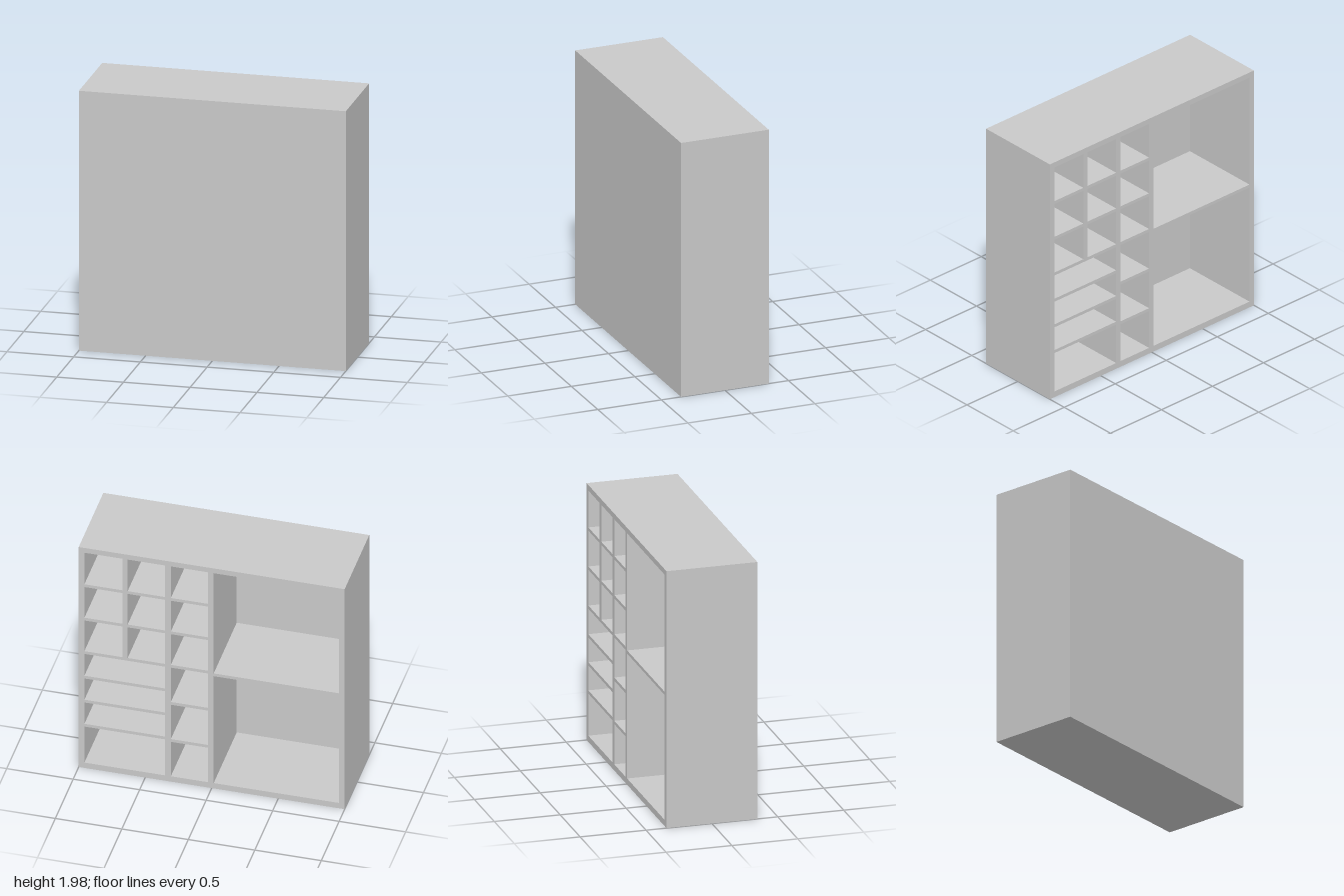
import * as THREE from 'three';

export function createModel() {
  const group = new THREE.Group();
  const grey = new THREE.MeshStandardMaterial({ color: 0xc8c8c8 });
  grey.name = 'light grey';

  const H = 1.98, D = 0.345, T = 0.043; // height, half depth, panel thickness
  const inner = 0.3; // inside face of the closed panel
  const S = 0.025; // shelf thickness

  // Box given by its limits on each axis
  function panel(name, x0, x1, y0, y1, z0 = -D, z1 = inner) {
    const mesh = new THREE.Mesh(new THREE.BoxGeometry(x1 - x0, y1 - y0, z1 - z0), grey);
    mesh.position.set((x0 + x1) / 2, (y0 + y1) / 2, (z0 + z1) / 2);
    mesh.name = name;
    group.add(mesh);
  }

  // Outer case, open towards -z
  panel('frontPanel', -1, 1, 0, H, inner, D);
  panel('leftSide', 1 - T, 1, 0, H);
  panel('rightSide', -1, -1 + T, 0, H);
  panel('bottomPanel', -1 + T, 1 - T, 0, 0.048);
  panel('topPanel', -1 + T, 1 - T, H - T, H);

  // Full-height dividers
  panel('outerDivider', 0.307, 0.35, 0.048, H - T);
  panel('middleDivider', -0.015, 0.028, 0.048, H - T);

  // Wide bay on the left, its upper part split into cubbies
  for (const y of [1.653, 1.352, 1.051, 0.83, 0.614, 0.397])
    panel('leftShelf', 0.35, 1 - T, y - S, y);
  const cubbyFloors = [1.051, 1.352, 1.653];
  cubbyFloors.forEach((y, i) => {
    const top = i < 2 ? cubbyFloors[i + 1] - S : H - T;
    panel('cubbyDivider', 0.632, 0.672, y, top);
  });

  // Narrow middle bay
  for (const y of [1.653, 1.352, 1.051, 0.717, 0.383])
    panel('middleShelf', 0.028, 0.307, y - S, y);

  // Hanging bay with one shelf and two rails
  panel('hangingShelf', -1 + T, -0.015, 1.035 - S, 1.035);

  function rod(name, radius, x0, x1, y) {
    const mesh = new THREE.Mesh(new THREE.CylinderGeometry(radius, radius, x1 - x0, 24), grey);
    mesh.rotation.z = Math.PI / 2;
    mesh.position.set((x0 + x1) / 2, y, 0.02);
    mesh.name = name;
    group.add(mesh);
  }
  for (const y of [1.848, 0.9]) {
    rod('hangingRail', 0.014, -1 + T, -0.015, y);
    rod('railFlange', 0.025, -1 + T, -1 + T + 0.018, y);
    rod('railFlange', 0.025, -0.033, -0.015, y);
  }
  return group;
}
